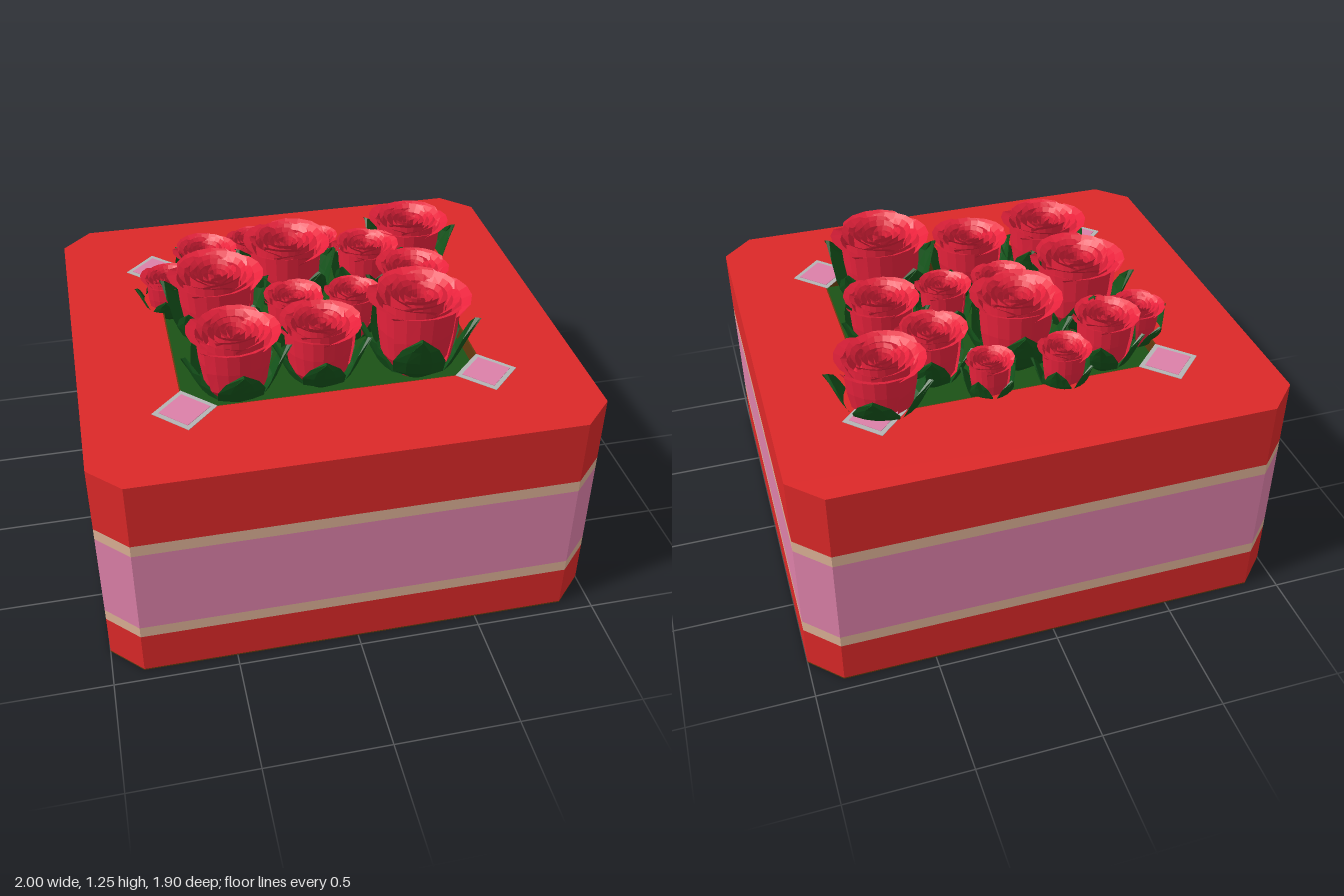
import * as THREE from 'three';
import { ParametricGeometry } from 'three/addons/geometries/ParametricGeometry.js';
import { mergeGeometries } from 'three/addons/utils/BufferGeometryUtils.js';

const mat = (color, extra = {}) => {
  const m = new THREE.MeshStandardMaterial({ color, flatShading: true, ...extra });
  return m;
};
const red = mat(0xdc2828), cream = mat(0xdcb095), pink = mat(0xdc80a8);
const brown = mat(0x633a0e), silver = mat(0xb4b4b4), soilGreen = mat(0x1b5216);
const petalRed = mat(0xe8223c, { side: THREE.DoubleSide });
const leafGreen = mat(0x14521a, { side: THREE.DoubleSide });

const W = 1, D = 0.95, CUT = 0.125;      // half width, half depth, corner chamfer
const HW = 0.61, HD = 0.54;              // half size of the opening
const TOP = 0.95, BED = 0.9;

const points = list => list.map(([x, y]) => new THREE.Vector2(x, y));
const rect = (w, d) => points([[-w, -d], [w, -d], [w, d], [-w, d]]);
const octagon = () => points([
  [-W + CUT, -D], [W - CUT, -D], [W, -D + CUT], [W, D - CUT],
  [W - CUT, D], [-W + CUT, D], [-W, D - CUT], [-W, -D + CUT],
]);

// Horizontal slab between two heights, optionally with a hole
function slab(name, outline, y0, y1, material, hole) {
  const shape = new THREE.Shape(outline);
  if (hole) shape.holes.push(new THREE.Path(hole));
  const g = new THREE.ExtrudeGeometry(shape, { depth: y1 - y0, bevelEnabled: false });
  g.rotateX(-Math.PI / 2).translate(0, y0, 0);
  const mesh = new THREE.Mesh(g, material);
  mesh.name = name;
  return mesh;
}

// One petal on a unit rose: a curved wall with a flared, rounded lip
function petal(radius, angle, half, top, flare) {
  const rs = [0.42, 0.7, 0.79, 0.83, 0.83 + flare], ys = [0, 0.25, 0.6, 0.94, 1];
  return new ParametricGeometry((u, v, p) => {
    const i = Math.round(v * 4), a = u * 2 - 1;
    const lip = i === 4 ? 1 - 0.55 * a ** 4 : 0;
    const r = radius * (i === 4 ? 0.83 + flare * lip : rs[i]) * (1 + 0.06 * a);
    const th = angle + a * half;
    p.set(Math.cos(th) * r, top * ys[i] * (1 - 0.07 * a ** 4), Math.sin(th) * r);
  }, 6, 4);
}

// Rings of overlapping petals, from the outer lip to the tight bud
function bloomGeometry() {
  const rings = [
    [1.0, 4, 0.95, 0.95, 0.2], [0.84, 4, 0.9, 0.98, 0.17],
    [0.66, 4, 0.9, 1.0, 0.15], [0.48, 3, 1.15, 0.98, 0.14],
    [0.32, 3, 1.15, 0.96, 0.12], [0.17, 2, 1.5, 0.95, 0.1],
  ];
  const parts = [];
  rings.forEach(([radius, n, half, top, flare], k) => {
    for (let i = 0; i < n; i++) {
      const angle = (i / n) * Math.PI * 2 + k * 0.75;
      parts.push(petal(radius, angle, half, top - 0.02 * (i % 2), flare));
    }
  });
  parts.push(new ParametricGeometry((u, v, p) => {   // floor between the petals
    const th = -u * Math.PI * 2;
    p.set(Math.cos(th) * v * 0.75, 0.72 - 0.1 * v, Math.sin(th) * v * 0.75);
  }, 12, 1));
  return mergeGeometries(parts);
}

// Five pointed leaves cupping the flower
function leavesGeometry() {
  const widths = [0.25, 0.5, 0.52, 0.36, 0], rs = [0.45, 0.82, 0.98, 1.12, 1.28];
  const parts = [];
  for (let k = 0; k < 5; k++) {
    const angle = (k / 5) * Math.PI * 2 + 0.3;
    parts.push(new ParametricGeometry((u, v, p) => {
      const i = Math.round(v * 4), a = u * 2 - 1;
      const r = rs[i] - 0.12 * a * a, s = widths[i] * a;
      const c = Math.cos(angle), n = Math.sin(angle);
      p.set(c * r - n * s, v * (0.76 - 0.06 * (k % 2)), n * r + c * s);
    }, 4, 4));
  }
  return mergeGeometries(parts);
}

// Roses: x, z, radius, top height
const ROSES = [
  [-0.38, 0.36, 0.18, 1.19], [-0.03, 0.34, 0.165, 1.17], [0.37, 0.34, 0.2, 1.25],
  [-0.08, 0.05, 0.125, 1.12], [0.17, 0.06, 0.115, 1.12], [0.45, -0.02, 0.155, 1.16],
  [-0.39, -0.04, 0.19, 1.22], [-0.05, -0.25, 0.185, 1.22], [0.31, -0.28, 0.14, 1.14],
  [0.55, -0.43, 0.175, 1.16], [-0.39, -0.38, 0.135, 1.14], [-0.17, -0.5, 0.105, 1.1],
  [0.13, -0.48, 0.095, 1.09], [-0.57, -0.27, 0.115, 1.08],
];

export function createModel() {
  const model = new THREE.Group();
  model.name = 'roseBox';

  // Box: stacked flush bands, brown base, hollow top band
  const box = new THREE.Group();
  box.name = 'box';
  box.add(
    slab('base', octagon(), 0, 0.006, brown),
    slab('lowerBand', octagon(), 0.006, 0.19, red),
    slab('lowerTrim', octagon(), 0.19, 0.24, cream),
    slab('middleBand', octagon(), 0.24, 0.62, pink),
    slab('upperTrim', octagon(), 0.62, 0.67, cream),
    slab('upperBand', octagon(), 0.67, TOP, red, rect(HW, HD)),
    slab('lining', rect(HW, HD), 0.67, TOP - 0.002, brown, rect(HW - 0.006, HD - 0.006)),
    slab('plantBed', rect(HW - 0.006, HD - 0.006), 0.67, BED - 0.02, soilGreen),
  );
  model.add(box);

  // Diamond tiles centred on the corners of the opening
  const diamond = r => points([[r, 0], [0, r], [-r, 0], [0, -r]]);
  for (const sx of [-1, 1]) for (const sz of [-1, 1]) {
    const tile = new THREE.Group();
    tile.name = 'cornerTile';
    tile.add(
      slab('tileBorder', diamond(0.127), TOP, TOP + 0.002, silver),
      slab('tileFace', diamond(0.1), TOP + 0.002, TOP + 0.004, pink),
    );
    tile.position.set(sx * 0.605, 0, sz * HD);
    model.add(tile);
  }

  // Roses share one bloom and one leaf cup, scaled and turned
  const bloom = bloomGeometry(), leaves = leavesGeometry();
  ROSES.forEach(([x, z, r, top], i) => {
    const rose = new THREE.Group();
    rose.name = 'rose';
    const flower = new THREE.Mesh(bloom, petalRed);
    flower.name = 'bloom';
    const cup = new THREE.Mesh(leaves, leafGreen);
    cup.name = 'leaves';
    rose.add(flower, cup);
    rose.position.set(x, BED - 0.02, z);
    rose.scale.set(r, top - BED + 0.02, r);
    rose.rotation.y = i * 2.4;
    model.add(rose);
  });
  return model;
}
